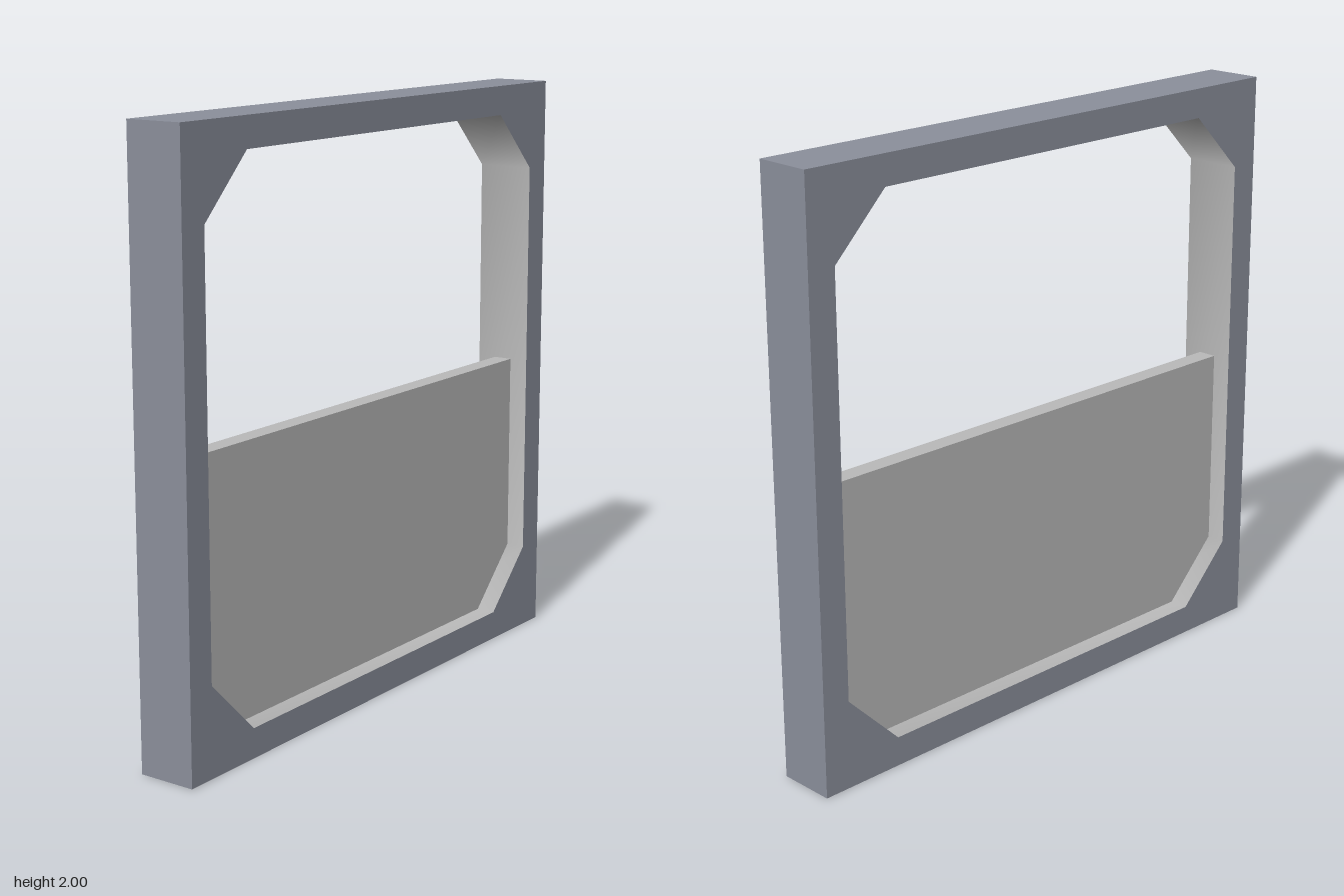
import * as THREE from 'three';

const DEPTH = 0.2, PANEL_DEPTH = 0.066;

const frameMaterial = new THREE.MeshStandardMaterial({ color: 0x8b8f9b });
frameMaterial.name = 'blue grey frame';
const panelMaterial = new THREE.MeshStandardMaterial({ color: 0xb9b9b9 });
panelMaterial.name = 'light grey panel';

// Counter-clockwise outlines
const square = [[-1, 0], [1, 0], [1, 2], [-1, 2]];
const opening = [
  [-0.7, 0.1], [0.7, 0.1], [0.9, 0.3], [0.9, 1.7],
  [0.7, 1.9], [-0.7, 1.9], [-0.9, 1.7], [-0.9, 0.3],
];
const lowerHalf = [[-0.7, 0.1], [0.7, 0.1], [0.9, 0.3], [0.9, 1], [-0.9, 1], [-0.9, 0.3]];

const toPoints = (outline) => outline.map(([x, y]) => new THREE.Vector2(x, y));

// Closed band of wall along an outline; faces outward for a counter-clockwise one
function wall(outline, smooth) {
  const n = outline.length, positions = [], index = [];
  outline.forEach(([x, y], i) => {
    positions.push(x, y, DEPTH / 2, x, y, -DEPTH / 2);
    const f = 2 * i, g = 2 * ((i + 1) % n);
    index.push(f, f + 1, g + 1, f, g + 1, g);
  });
  let geometry = new THREE.BufferGeometry();
  geometry.setAttribute('position', new THREE.Float32BufferAttribute(positions, 3));
  geometry.setIndex(index);
  if (!smooth) geometry = geometry.toNonIndexed();
  geometry.computeVertexNormals();
  return geometry;
}

export function createModel() {
  const model = new THREE.Group();
  model.name = 'windowFrame';
  const add = (name, geometry, material) => {
    const mesh = new THREE.Mesh(geometry, material);
    mesh.name = name;
    model.add(mesh);
    return mesh;
  };

  // Square frame with a chamfered opening: front, back and outer sides
  const face = new THREE.Shape(toPoints(square));
  face.holes.push(new THREE.Path(toPoints(opening)));
  const faceGeometry = new THREE.ShapeGeometry(face);
  add('frameFront', faceGeometry, frameMaterial).position.z = DEPTH / 2;
  const back = add('frameBack', faceGeometry, frameMaterial);
  back.position.z = -DEPTH / 2;
  back.rotation.y = Math.PI;
  add('frameSides', wall(square, false), frameMaterial);

  // Smooth lining facing into the opening
  add('openingLining', wall([...opening].reverse(), true), panelMaterial);

  // Solid panel filling the lower half
  const panel = new THREE.ExtrudeGeometry(new THREE.Shape(toPoints(lowerHalf)), {
    depth: PANEL_DEPTH, bevelEnabled: false,
  });
  add('lowerPanel', panel, panelMaterial).position.z = -PANEL_DEPTH / 2;

  return model;
}
